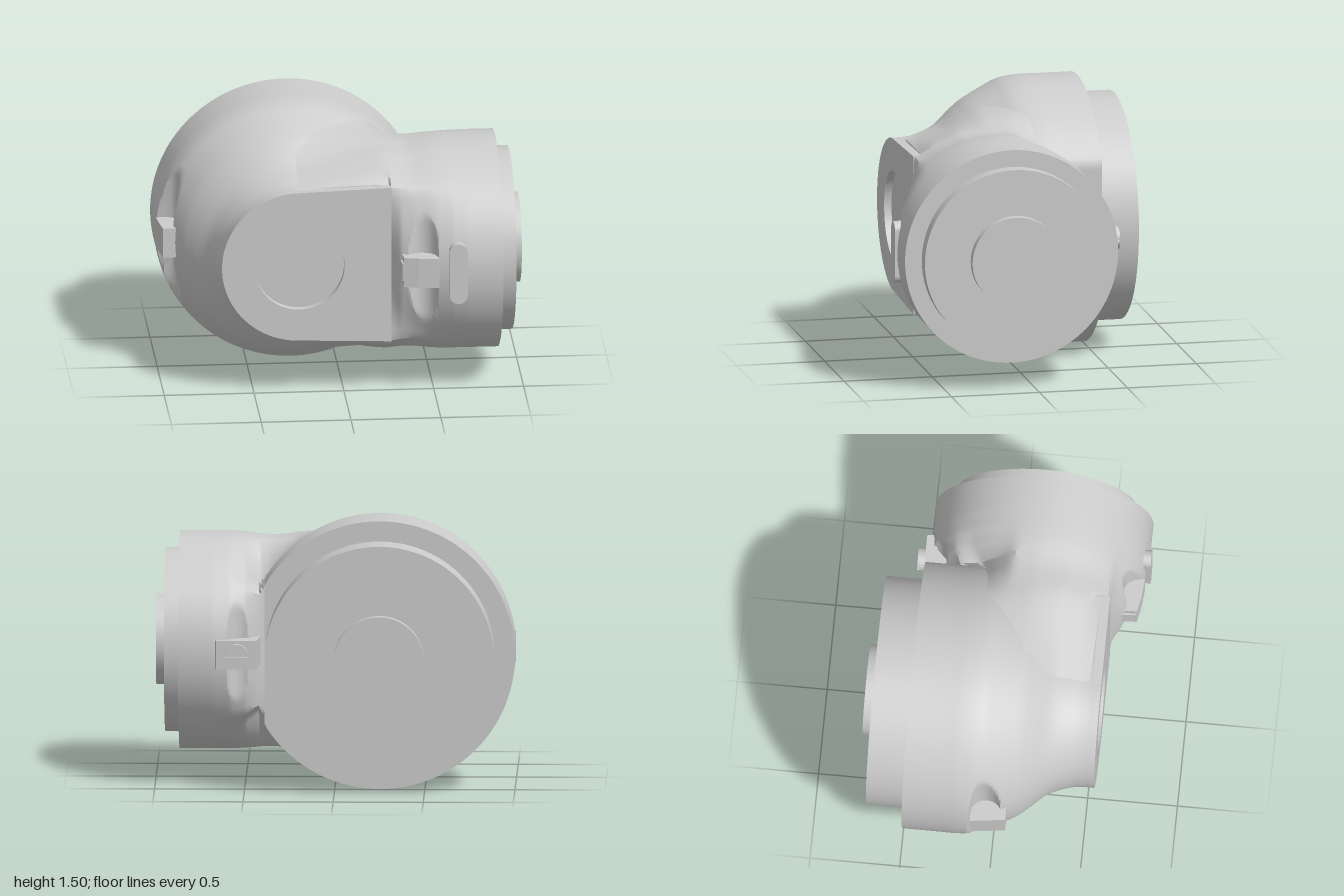
import * as THREE from 'three';
import { toCreasedNormals } from 'three/addons/utils/BufferGeometryUtils.js';

const CY = 0.75, DX = -0.25, SZ = 0.13; // shared axis height, big drum x, side drum z
const { lerp, clamp } = THREE.MathUtils;

// Linear interpolation in a short list of [key, value]
function table(rows, k) {
  for (let i = 1; i < rows.length; i++) {
    const [a, va] = rows[i - 1], [b, vb] = rows[i];
    if (k <= b) return lerp(va, vb, clamp((k - a) / (b - a), 0, 1));
  }
  return rows[rows.length - 1][1];
}

// Moves every vertex by a rule
function reshape(geo, rule) {
  const p = geo.attributes.position, v = new THREE.Vector3();
  for (let i = 0; i < p.count; i++) {
    v.fromBufferAttribute(p, i);
    rule(v);
    p.setXYZ(i, v.x, v.y, v.z);
  }
  return geo;
}

// Half circle depth used by the clip grooves
const groove = (d) => Math.sqrt(Math.max(0, 0.09 * 0.09 - d * d));

// Big drum tapering to the front face, cut flat on one side, with a clip groove
function drumGeometry() {
  const side = new THREE.SplineCurve([
    [0.75, -0.49], [0.75, -0.3], [0.75, -0.18], [0.736, -0.08], [0.7, 0], [0.63, 0.13],
    [0.575, 0.2], [0.49, 0.3], [0.442, 0.42], [0.43, 0.51],
  ].map(([r, z]) => new THREE.Vector2(r, z))).getSpacedPoints(84);
  const geo = new THREE.LatheGeometry(
    [new THREE.Vector2(0, -0.49), ...side, new THREE.Vector2(0, 0.51)], 128);
  geo.rotateX(Math.PI / 2).translate(DX, CY, 0);
  reshape(geo, (v) => {
    v.x = Math.min(v.x, 0.39);
    const d = v.z + 0.025;
    if (v.x < -0.8 && Math.abs(d) < 0.09) v.x = Math.max(v.x, -0.96 + groove(d));
  });
  return toCreasedNormals(geo, 0.6);
}

// Half outline (z, height) of the neck where it leaves the big drum
function neckOutline(x) {
  const k = clamp((x - DX) / 0.5, 0, 1);
  const drum = Math.sqrt(Math.max(0.1, 0.745 ** 2 - (x - DX) ** 2));
  const front = x < 0.255 ? 0.505 : 0.55;
  return [[front, 0], [front, lerp(0.43, 0.45, k)], [0.45, lerp(0.44, 0.51, k)],
    [0.3, lerp(0.49, 0.58, k)], [SZ, lerp(0.63, 0.605, k)], [0, lerp(0.7, 0.6, k)],
    [-0.15, drum], [-0.28, drum], [-0.28, 0]];
}

// Distance from the side axis to an outline along an angle
function rayHit(outline, angle) {
  const c = Math.cos(angle), s = Math.sin(angle);
  for (let i = 1; i < outline.length; i++) {
    const az = outline[i - 1][0] - SZ, ah = outline[i - 1][1];
    const ez = outline[i][0] - SZ - az, eh = outline[i][1] - ah;
    const det = c * eh - s * ez;
    if (Math.abs(det) < 1e-9) continue;
    const r = (az * eh - ah * ez) / det, u = (az * s - ah * c) / det;
    if (r > 0 && u >= -1e-6 && u <= 1 + 1e-6) return r;
  }
  return 0.41;
}

// Neck and side drum: outlines morphing from the drum side to a full circle
function neckGeometry() {
  const N = 128, R = 0.605, xs = [], pos = [], idx = [];
  for (let x = DX; x < 0.24; x += 0.035) xs.push(x);
  xs.push(0.25, 0.26);
  for (let x = 0.275; x < 0.69; x += 0.0125) xs.push(x);
  xs.push(0.87);
  const frontMix = [[0.26, 0], [0.31, 0.4], [0.4, 0.64], [0.5, 0.84], [0.6, 0.97], [0.67, 1]];
  const backMix = [[0.36, 0], [0.42, 0.17], [0.5, 0.7], [0.58, 0.93], [0.68, 1]];
  for (const x of xs) {
    const outline = neckOutline(x);
    const waist = 1 - 0.03 * Math.exp(-(((x - 0.36) / 0.12) ** 2));
    for (let j = 0; j < N; j++) {
      const a = (j / N) * Math.PI * 2, up = a <= Math.PI ? a : 2 * Math.PI - a;
      const mix = lerp(table(backMix, x), table(frontMix, x), (Math.cos(a) + 1) / 2);
      const r = lerp(rayHit(outline, up), R, mix);
      let z = SZ + r * Math.cos(a);
      // grooves under the front and back clips
      if (Math.abs(x - 0.42) < 0.09) z = Math.min(z, 0.7 - groove(x - 0.42));
      if (Math.abs(x - 0.51) < 0.09) z = Math.max(z, -0.47 + groove(x - 0.51));
      pos.push(x, CY + r * Math.sin(a) * waist, z);
    }
  }
  const last = xs.length - 1;
  for (let j = 0; j < N; j++) {
    const n = (j + 1) % N;
    for (let i = 0; i < last; i++) {
      const a = i * N + j, b = i * N + n;
      idx.push(a, a + N, b, b, a + N, b + N);
    }
    idx.push(xs.length * N, last * N + n, last * N + j);
  }
  pos.push(0.87, CY, SZ);
  const geo = new THREE.BufferGeometry();
  geo.setAttribute('position', new THREE.Float32BufferAttribute(pos, 3));
  geo.setIndex(idx);
  return toCreasedNormals(geo, 0.5);
}

// Disc along z or x, from one coordinate to another
function disc(axis, r, from, to) {
  const geo = new THREE.CylinderGeometry(r, r, to - from, 96);
  const mid = (from + to) / 2;
  return axis === 'z' ? geo.rotateX(Math.PI / 2).translate(DX, CY, mid)
    : geo.rotateZ(-Math.PI / 2).translate(mid, CY, SZ);
}

// Plan outline (x, z) extruded upwards, centred on the axis height
function block(points, height) {
  const shape = new THREE.Shape(points.map(([x, z]) => new THREE.Vector2(x, -z)));
  return new THREE.ExtrudeGeometry(shape, { depth: height, bevelEnabled: false })
    .rotateX(-Math.PI / 2).translate(0, CY - height / 2, 0);
}

// Front outline extruded along z
const slab = (shape, x, z, depth) => new THREE.ExtrudeGeometry(shape,
  { depth, bevelEnabled: false, curveSegments: 40 }).translate(x, CY, z);

export function createModel() {
  const group = new THREE.Group();
  const material = new THREE.MeshStandardMaterial({ color: 0xcccccc, side: THREE.DoubleSide });
  const add = (name, geo) => {
    const mesh = new THREE.Mesh(geo, material);
    mesh.name = name;
    group.add(mesh);
  };

  add('drumBody', drumGeometry());
  add('sideBody', neckGeometry());

  // Front face with round recess
  const face = new THREE.Shape();
  face.moveTo(0.26, 0.45);
  face.lineTo(DX, 0.432);
  face.absarc(DX, 0, 0.432, Math.PI / 2, Math.PI * 1.5, false);
  face.lineTo(0.26, -0.45);
  face.closePath();
  face.holes.push(new THREE.Path().absarc(DX, 0, 0.25, 0, Math.PI * 2, true));
  add('frontFace', slab(face, 0, 0.5, 0.052));

  // Stepped ends
  add('backFlange', disc('z', 0.637, -0.7, -0.48));
  add('backBoss', disc('z', 0.25, -0.755, -0.69));
  add('sideFlange', disc('x', 0.51, 0.86, 0.95));
  add('sideBoss', disc('x', 0.25, 0.94, 1));

  // Clips bridging the grooves
  add('frontClip', block([[0.34, 0.58], [0.315, 0.61], [0.32, 0.695], [0.4, 0.712],
    [0.51, 0.722], [0.53, 0.66], [0.45, 0.58]], 0.17));
  add('frontClipTongue', block([[0.3, 0.58], [0.312, 0.69], [0.35, 0.7], [0.36, 0.58]], 0.1));
  add('leftClip', block([[-1, -0.11], [-0.975, 0.085], [-0.9, 0.085], [-0.87, 0.04],
    [-0.84, -0.03], [-0.9, -0.11]], 0.17));
  add('backClip', block([[0.415, -0.31], [0.435, -0.505], [0.66, -0.505], [0.665, -0.46],
    [0.58, -0.44], [0.5, -0.36]], 0.16));

  // Raised lug beside the front clip
  const lug = new THREE.Shape();
  lug.absarc(0, 0.125, 0.05, 0, Math.PI, false);
  lug.absarc(0, -0.125, 0.05, Math.PI, Math.PI * 2, false);
  lug.closePath();
  add('frontLug', slab(lug, 0.62, 0.69, 0.058));

  // Slotted screw on the back clip
  add('screwNeck', disc('z', 0.06, -0.53, -0.49).translate(0.545 - DX, 0, 0));
  for (const s of [0, Math.PI]) {
    const half = new THREE.Shape().absarc(0, 0, 0.064, s + 0.15, s + Math.PI - 0.15, false);
    half.closePath();
    add('screwHead', slab(half, 0.545, -0.545, 0.03));
  }
  return group;
}
